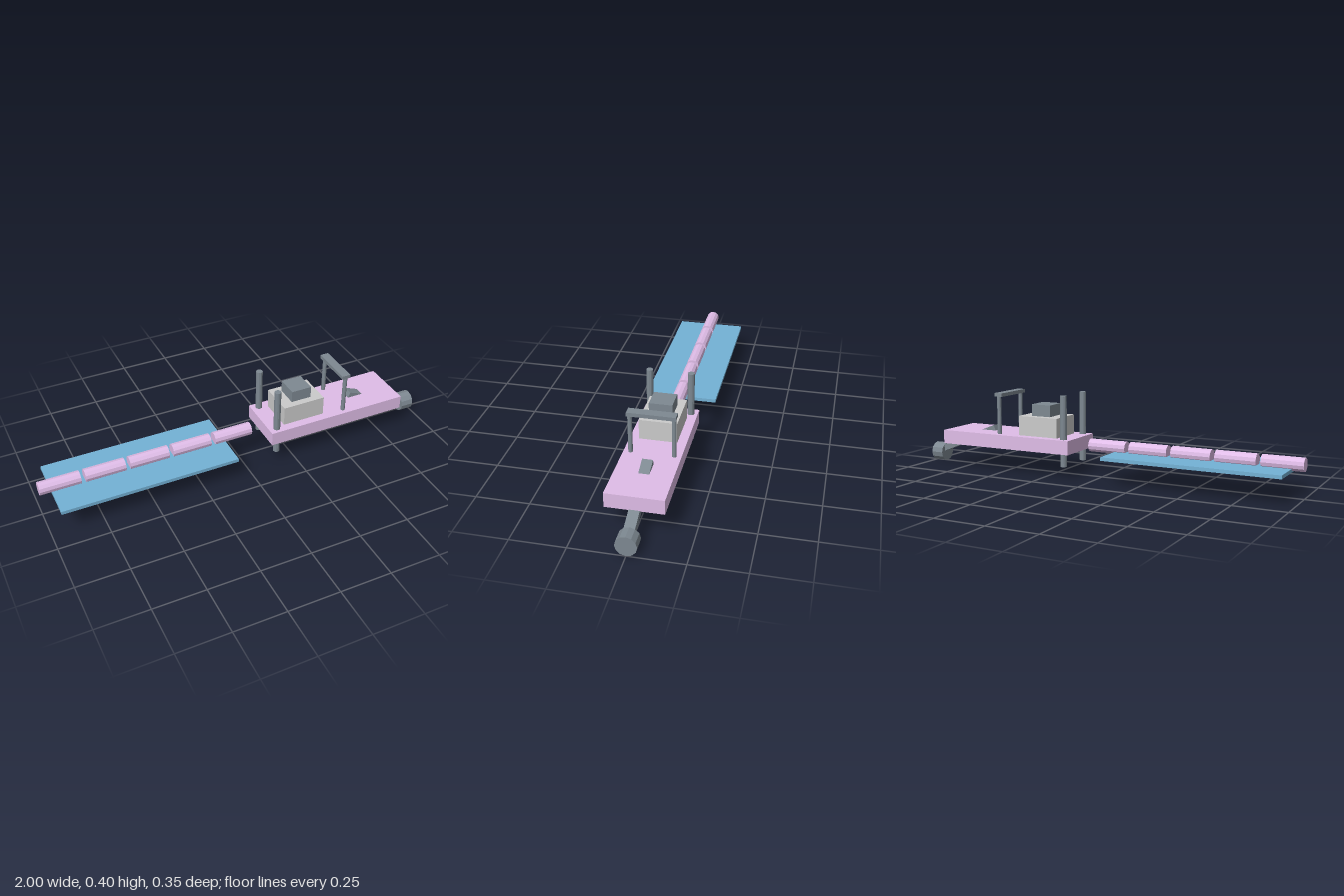
import * as THREE from 'three';

const material = (color) => new THREE.MeshStandardMaterial({ color, flatShading: true });

export function createModel() {
  const model = new THREE.Group();
  const pink = material(0xe0bde8);
  const blue = material(0x74b2d6);
  const dark = material(0x7e8992);
  const grey = material(0xcccccc);

  const add = (name, geometry, mat, x, y, z) => {
    const mesh = new THREE.Mesh(geometry, mat);
    mesh.name = name;
    mesh.position.set(x, y, z);
    model.add(mesh);
    return mesh;
  };
  // Box given by its x and y ranges and half depth
  const box = (name, mat, x0, x1, y0, y1, halfZ) =>
    add(name, new THREE.BoxGeometry(x1 - x0, y1 - y0, halfZ * 2), mat, (x0 + x1) / 2, (y0 + y1) / 2, 0);
  const cylinder = (radius, length) => new THREE.CylinderGeometry(radius, radius, length, 12);

  // Hull with stacked machinery
  box('deck', pink, 0.12, 0.855, 0.119, 0.188, 0.13);
  box('engineHouse', grey, 0.205, 0.422, 0.188, 0.285, 0.0875);
  box('engineTop', dark, 0.262, 0.366, 0.285, 0.343, 0.054);

  // Tall posts through the deck, and the gantry
  for (const side of [1, -1]) {
    const name = side > 0 ? 'left' : 'right';
    add(`${name}Post`, cylinder(0.0165, 0.348), dark, 0.16, 0.228, side * 0.098);
    add(`${name}GantryLeg`, cylinder(0.0105, 0.195), dark, 0.53, 0.2855, side * 0.098);
  }
  box('gantryBeam', dark, 0.508, 0.551, 0.377, 0.395, 0.109);

  // Sloping arm through the deck with a round cutter head
  const start = new THREE.Vector2(0.611, 0.2);
  const end = new THREE.Vector2(0.955, 0.064);
  const arm = add('cutterArm', new THREE.BoxGeometry(start.distanceTo(end), 0.034, 0.048), dark,
    (start.x + end.x) / 2, (start.y + end.y) / 2, 0);
  arm.rotation.z = Math.atan2(end.y - start.y, end.x - start.x);
  add('cutterHead', cylinder(0.048, 0.065).rotateZ(Math.PI / 2), dark, 0.9675, 0.048, 0);

  // Segmented pipe lying along a flat plate
  box('plate', blue, -0.945, -0.08, 0.119, 0.136, 0.174);
  for (let i = 0; i < 5; i++) {
    add(`pipeSection${i + 1}`, cylinder(0.0325, 0.195).rotateZ(Math.PI / 2), pink, -0.9025 + i * 0.2163, 0.155, 0);
  }

  return model;
}
